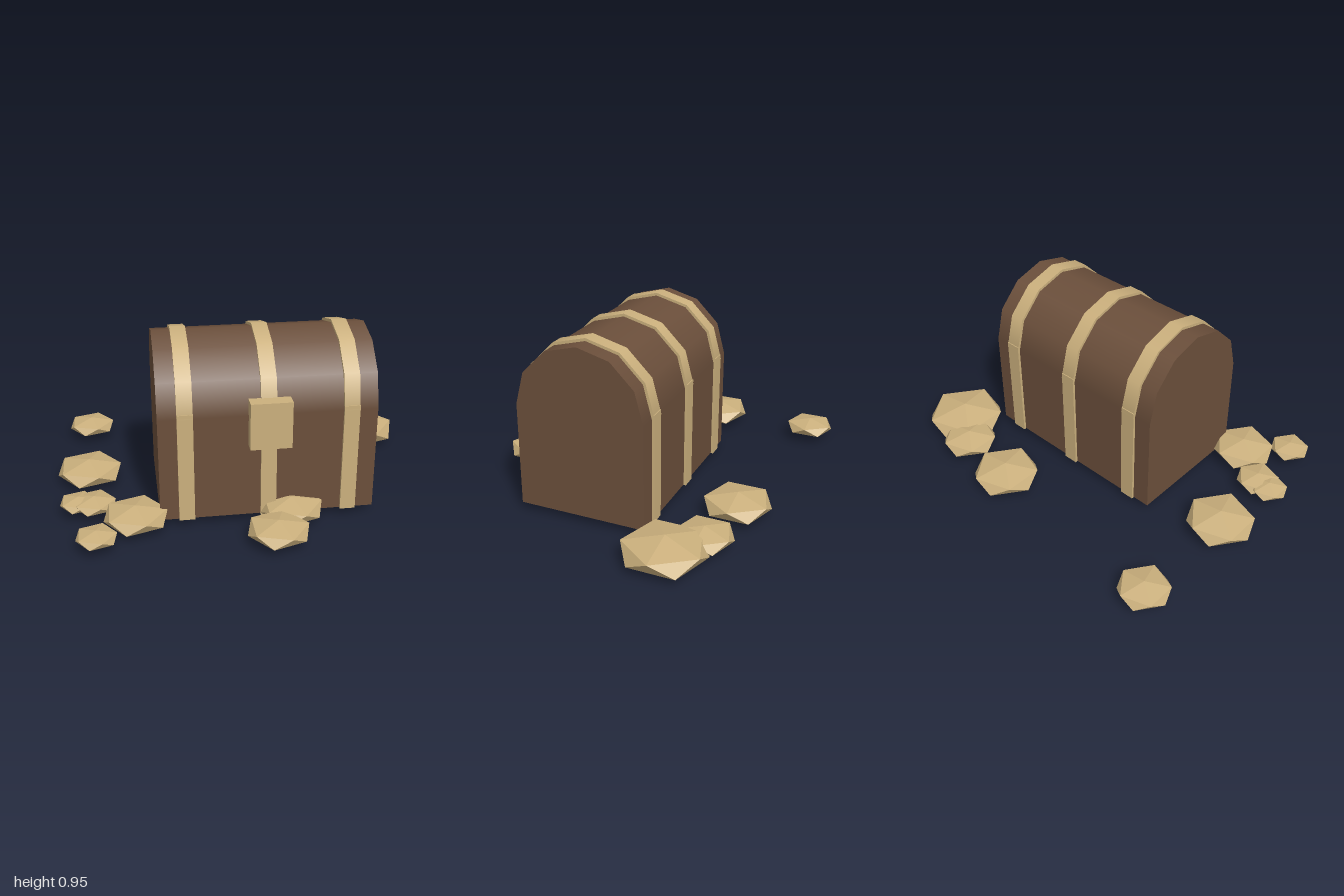
import * as THREE from 'three';

const wood = new THREE.MeshStandardMaterial({ color: 0x6b4f3b });
wood.name = 'brown wood';
const gold = new THREE.MeshStandardMaterial({ color: 0xcbb07d });
gold.name = 'pale gold';
// same gold colour with faceted shading, for the nuggets
const goldFaceted = new THREE.MeshStandardMaterial({ color: 0xcbb07d, flatShading: true });
goldFaceted.name = 'pale gold faceted';

const CX = 0.0875, CZ = 0.09; // chest centre
const SPRING = 0.595;         // height where the arched lid starts

function add(parent, name, geometry, material, x, y, z) {
  const mesh = new THREE.Mesh(geometry, material);
  mesh.name = name;
  mesh.position.set(x, y, z);
  parent.add(mesh);
  return mesh;
}

// Box given by its bottom and top heights
function block(parent, name, material, w, y0, y1, d, x, z) {
  return add(parent, name, new THREE.BoxGeometry(w, y1 - y0, d), material, x, (y0 + y1) / 2, z);
}

// Half cylinder lying along x, arched side up
function arch(radius, width) {
  return new THREE.CylinderGeometry(radius, radius, width, 6, 1, false, 0, Math.PI).rotateZ(Math.PI / 2);
}

// Flattened icosahedron standing on its pole
function nuggetGeometry() {
  const t = (1 + Math.sqrt(5)) / 2;
  return new THREE.IcosahedronGeometry(1, 0).rotateX(-Math.atan(t)).rotateY(Math.PI / 2);
}

export function createModel() {
  const model = new THREE.Group();
  model.name = 'treasureChest';

  // Chest body and lid
  const chest = new THREE.Group();
  chest.name = 'chest';
  model.add(chest);
  block(chest, 'chestBody', wood, 1.105, 0.04, SPRING, 0.69, CX, CZ);
  add(chest, 'chestLid', arch(0.345, 1.105), wood, CX, SPRING, CZ);

  // Metal bands wrapping body and lid
  for (const x of [-0.33, CX, 0.505]) {
    block(chest, 'bodyBand', gold, 0.08, 0.037, 0.62, 0.716, x, CZ);
    add(chest, 'lidBand', arch(0.36, 0.08), gold, x, SPRING, CZ);
  }

  // Lock plate
  block(chest, 'lock', gold, 0.21, 0.435, 0.68, 0.075, 0.09, 0.46);

  // Scattered gold pieces: x, z, outline radius
  const pieces = [
    [-0.823, -0.698, 0.131], [0.249, -0.603, 0.174], [0.607, -0.556, 0.147],
    [0.79, -0.43, 0.21], [-0.828, -0.104, 0.174], [-0.88, 0.257, 0.096],
    [-0.798, 0.273, 0.111], [-0.59, 0.428, 0.163], [-0.786, 0.602, 0.102],
    [0.206, 0.449, 0.16], [0.102, 0.66, 0.153],
  ];
  const geometry = nuggetGeometry();
  const ring = 2 / Math.sqrt(5); // ring radius of a unit icosahedron
  for (const [x, z, r] of pieces) {
    const piece = add(model, 'goldPiece', geometry, goldFaceted, x, 0.075, z);
    piece.scale.set(r / ring, 0.357 * r, r / ring);
  }
  return model;
}
